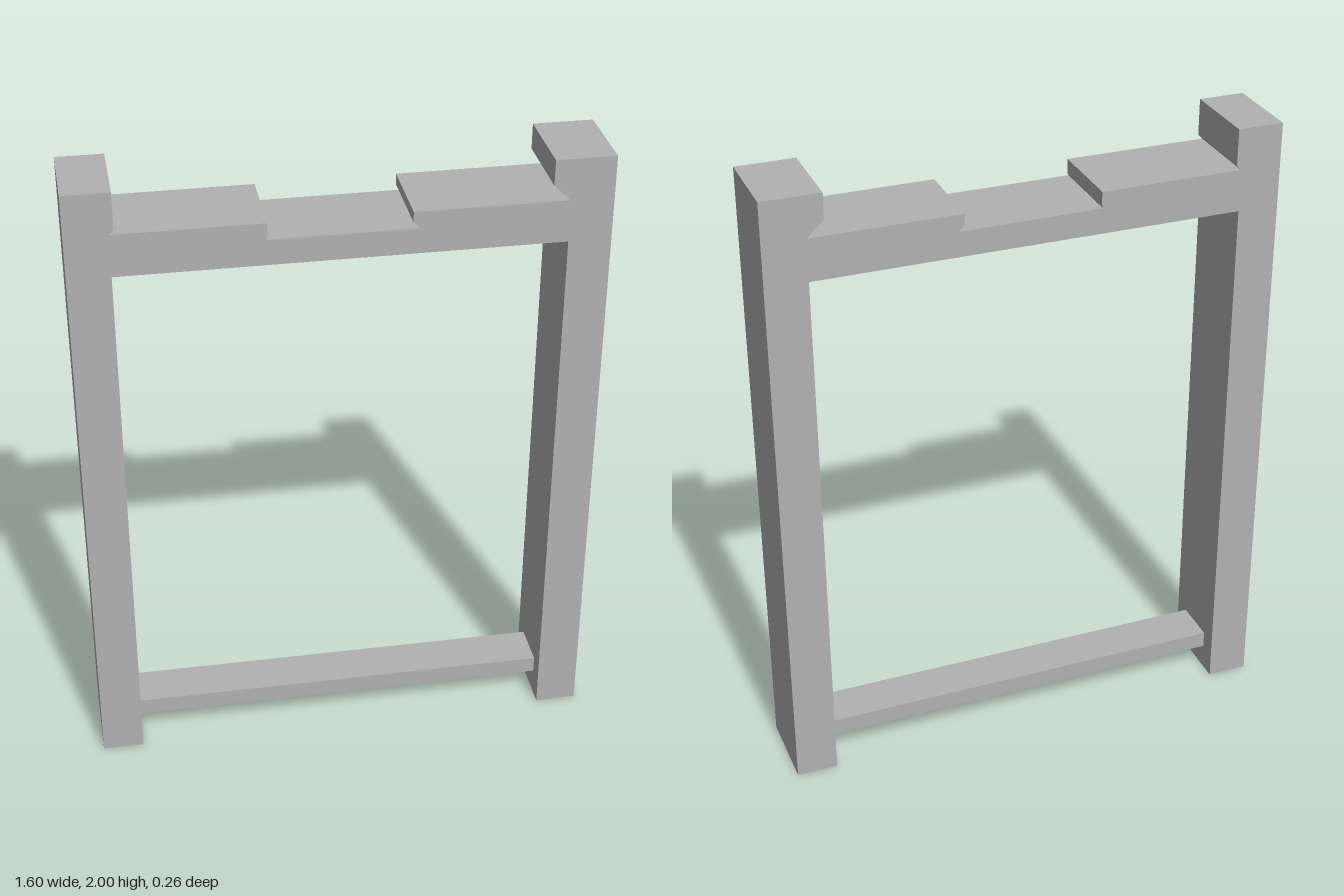
import * as THREE from 'three';

const DEPTH = 0.264;

export function createModel() {
  const group = new THREE.Group();
  group.name = 'frame';
  const grey = new THREE.MeshStandardMaterial({ color: 0xb2b2b2 });
  grey.name = 'grey';

  // Posts and notched top beam, one continuous profile
  const outline = [
    [-0.8, 0], [-0.67, 0], [-0.67, 1.737], [0.667, 1.737], [0.667, 0], [0.798, 0],
    [0.798, 2], [0.614, 2], [0.614, 1.92], [0.667, 1.87],      // left hook
    [0.202, 1.87], [0.202, 1.837], [0.223, 1.817],             // centre notch
    [-0.226, 1.817], [-0.222, 1.827], [-0.222, 1.87],
    [-0.67, 1.87], [-0.656, 1.886], [-0.656, 2], [-0.8, 2],    // right hook
  ];
  const shape = new THREE.Shape(outline.map(([x, y]) => new THREE.Vector2(x, y)));
  const frameGeometry = new THREE.ExtrudeGeometry(shape, { depth: DEPTH, bevelEnabled: false });
  frameGeometry.translate(0, 0, -DEPTH / 2);
  const posts = new THREE.Mesh(frameGeometry, grey);
  posts.name = 'postsAndTopBeam';
  group.add(posts);

  // Thin lower rail, set in from the front and back of the posts
  const rail = new THREE.Mesh(new THREE.BoxGeometry(1.337, 0.055, 0.146), grey);
  rail.name = 'lowerRail';
  rail.position.set(-0.0015, 0.109, 0);
  group.add(rail);

  return group;
}
